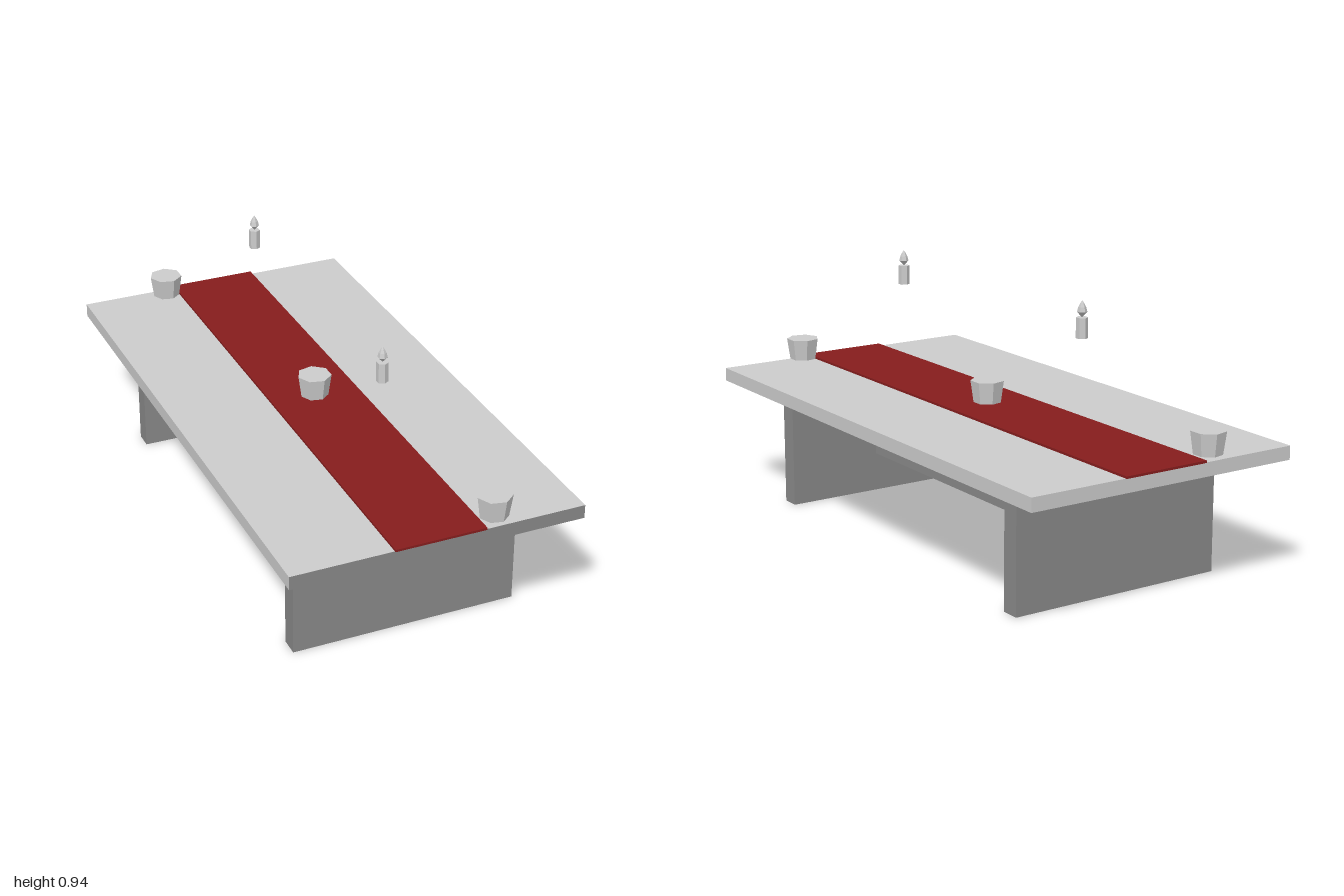
import * as THREE from 'three';

export function createModel() {
  const root = new THREE.Group();
  root.name = 'diningTable';

  function paint(name, color) {
    const material = new THREE.MeshStandardMaterial({ color });
    material.name = name;
    return material;
  }
  const light = paint('light grey', 0xcccccc);
  const dark = paint('dark grey', 0x898989);
  const red = paint('runner red', 0x861d1d);

  function add(name, geometry, material, x, y, z, parent = root) {
    const mesh = new THREE.Mesh(geometry, material);
    mesh.name = name;
    mesh.position.set(x, y, z);
    parent.add(mesh);
    return mesh;
  }

  // Box given by its width, bottom and top heights, and depth
  function slab(name, material, width, y0, y1, depth, z = 0) {
    return add(name, new THREE.BoxGeometry(width, y1 - y0, depth), material, 0, (y0 + y1) / 2, z);
  }

  // Faceted version of a round geometry
  function faceted(geometry) {
    const flat = geometry.toNonIndexed();
    flat.computeVertexNormals();
    return flat;
  }

  // Tabletop: light, with a dark underside and front edge (+x, -x, +y, -y, +z, -z)
  slab('tabletop', [light, light, light, dark, dark, light], 1.026, 0.429, 0.477, 1.99);
  slab('runner', red, 0.318, 0.477, 0.485, 2);

  // Dark trestle
  slab('stretcher', dark, 0.092, 0.143, 0.209, 1.376);
  slab('frontLeg', dark, 0.8, 0, 0.429, 0.066, 0.721);
  slab('backLeg', dark, 0.8, 0, 0.429, 0.066, -0.721);

  // Seven-sided tapered cups, one corner towards -x
  const cupGeometry = faceted(
    new THREE.CylinderGeometry(0.06, 0.049, 0.078, 7, 1, false, -Math.PI / 2));
  for (const [name, x, z] of [['frontCup', 0.21, 0.943], ['middleCup', 0, 0], ['backCup', -0.21, -0.943]]) {
    add(name, cupGeometry, light, x, 0.525, z);
  }

  // Floating six-sided candles with pointed flames
  const waxGeometry = faceted(new THREE.CylinderGeometry(0.02, 0.02, 0.069, 6));
  const flameProfile = [[0, 0], [0.017, 0.018], [0.013, 0.034], [0.007, 0.046], [0, 0.056]]
    .map(([r, y]) => new THREE.Vector2(r, y));
  const flameGeometry = faceted(new THREE.LatheGeometry(flameProfile, 6));
  for (const [name, z] of [['frontCandle', 0.547], ['backCandle', -0.547]]) {
    const candle = new THREE.Group();
    candle.name = name;
    candle.position.set(0, 0.815, z);
    add('wax', waxGeometry, light, 0, 0.0345, 0, candle);
    add('flame', flameGeometry, light, 0, 0.069, 0, candle);
    root.add(candle);
  }

  return root;
}
